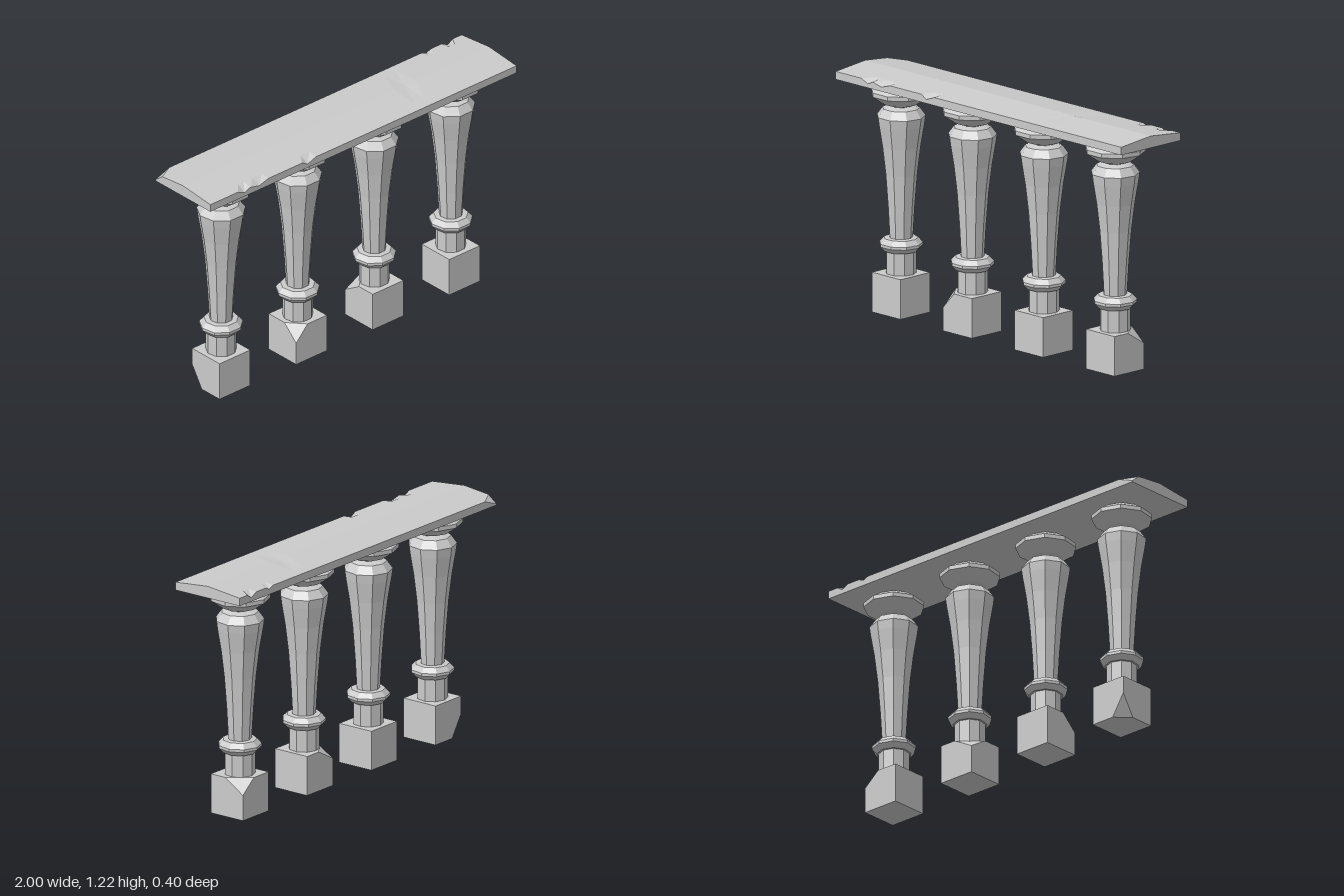
import * as THREE from 'three';
import { ConvexGeometry } from 'three/addons/geometries/ConvexGeometry.js';

const stone = new THREE.MeshStandardMaterial({ color: 0xcccccc, flatShading: true });

// Lathe profiles as [radius, height]
const PROFILES = {
  neck: [[0.076, 0.19], [0.076, 0.32]],
  ring: [[0.05, 0.31], [0.085, 0.313], [0.108, 0.338], [0.108, 0.352], [0.085, 0.377], [0.05, 0.38]],
  shaft: [[0.058, 0.37], [0.067, 0.53], [0.08, 0.7], [0.097, 0.84], [0.115, 0.945], [0.121, 0.99], [0.092, 1.03], [0.05, 1.042]],
  bulb: [[0.05, 1.04], [0.085, 1.052], [0.15, 1.097], [0.15, 1.118], [0.1, 1.15], [0.05, 1.161]],
};

// One entry per post: broken corner of the base, and an optional dent
const POSTS = [
  { x: -0.75, corner: [-1, -1, -1], cut: [0.07, 0.11, 0.07] },
  { x: -0.25, corner: [-1, 1, 1], cut: [0.075, 0.08, 0.085], dent: { part: 'bulb', dir: [0.4, 0.5, 0.8], at: [0.06, 1.115, 0.115] } },
  { x: 0.25, corner: [-1, 1, -1], cut: [0.11, 0.06, 0.1], dent: { part: 'shaft', dir: [-0.5, 0.15, 0.85], at: [-0.055, 0.97, 0.092] } },
  { x: 0.75, corner: [1, 1, -1], cut: [0.085, 0.07, 0.11], dent: { part: 'shaft', dir: [0.9, 0.1, 0.45], at: [0.097, 0.97, 0.047] } },
];

// Flatten everything beyond a plane onto that plane
function flatten(geometry, dir, at) {
  const plane = new THREE.Plane().setFromNormalAndCoplanarPoint(
    new THREE.Vector3(...dir).normalize(), new THREE.Vector3(...at));
  const pos = geometry.attributes.position;
  const v = new THREE.Vector3();
  for (let i = 0; i < pos.count; i++) {
    v.fromBufferAttribute(pos, i);
    if (plane.distanceToPoint(v) > 0) {
      plane.projectPoint(v, v.clone());
      pos.setXYZ(i, v.x, v.y, v.z);
    }
  }
  geometry.computeVertexNormals();
}

// Cube with one corner cut away
function chippedCube(size, corner, cut) {
  const h = size / 2;
  const points = [];
  for (const x of [-1, 1]) for (const y of [-1, 1]) for (const z of [-1, 1]) {
    const c = [x, y, z];
    if (c.every((s, i) => s === corner[i])) {
      for (let i = 0; i < 3; i++) {
        const p = c.map((s) => s * h);
        p[i] -= c[i] * cut[i];
        points.push(new THREE.Vector3(...p));
      }
    } else points.push(new THREE.Vector3(x * h, y * h, z * h));
  }
  return new ConvexGeometry(points);
}

function makePost({ x, corner, cut, dent }) {
  const post = new THREE.Group();
  post.name = 'baluster';
  post.position.x = x;
  const base = new THREE.Mesh(chippedCube(0.2, corner, cut), stone);
  base.name = 'base';
  base.position.y = 0.1;
  post.add(base);
  for (const [name, profile] of Object.entries(PROFILES)) {
    // nine sides with one corner pointing to the back
    const geo = new THREE.LatheGeometry(profile.map((p) => new THREE.Vector2(...p)), 9, Math.PI);
    if (dent && dent.part === name) flatten(geo, dent.dir, dent.at);
    const mesh = new THREE.Mesh(geo, stone);
    mesh.name = name;
    post.add(mesh);
  }
  return post;
}

// Rail: gabled section lofted along x, with notches in the edges
function makeRail() {
  // [x, front edge drop, back edge drop, ridge drop]
  const stations = [
    [-1, 0, 0.033, 0], [-0.91, 0, 0, 0], [-0.82, 0, 0, 0], [-0.775, 0.02, 0, 0], [-0.74, 0.004, 0, 0],
    [-0.68, 0.018, 0, 0], [-0.62, 0, 0, 0], [-0.4, 0, 0, 0], [-0.365, 0.02, 0, 0], [-0.31, 0, 0, 0],
    [0.38, 0, 0, 0], [0.45, 0, 0, 0.005], [0.52, 0, 0, 0], [0.74, 0, 0, 0], [0.77, 0, 0.012, 0],
    [0.8, 0, 0, 0], [0.87, 0, 0, 0], [0.91, 0, 0.02, 0], [0.94, 0, 0, 0], [1, 0, 0, 0],
  ];
  const n = 7;
  const verts = [];
  const index = [];
  for (const [x, front, back, ridge] of stations) {
    const section = [
      [1.16, 0.2], [1.2 - front, 0.2], [1.205, 0.15], [1.22 - ridge, 0],
      [1.205, -0.15], [1.2 - back, -0.2], [1.16, -0.2],
    ];
    for (const [y, z] of section) verts.push(x, y, z);
  }
  const last = (stations.length - 1) * n;
  for (let s = 0; s < last; s += n) {
    for (let j = 0; j < n; j++) {
      const k = (j + 1) % n;
      index.push(s + j, s + n + j, s + n + k, s + j, s + n + k, s + k);
    }
  }
  // end caps
  for (let j = 1; j < n - 1; j++) {
    index.push(0, j, j + 1, last, last + j + 1, last + j);
  }
  const geo = new THREE.BufferGeometry();
  geo.setAttribute('position', new THREE.Float32BufferAttribute(verts, 3));
  geo.setIndex(index);
  geo.computeVertexNormals();
  const rail = new THREE.Mesh(geo, stone);
  rail.name = 'handrail';
  return rail;
}

export function createModel() {
  const model = new THREE.Group();
  model.name = 'balustrade';
  for (const post of POSTS) model.add(makePost(post));
  model.add(makeRail());
  return model;
}
